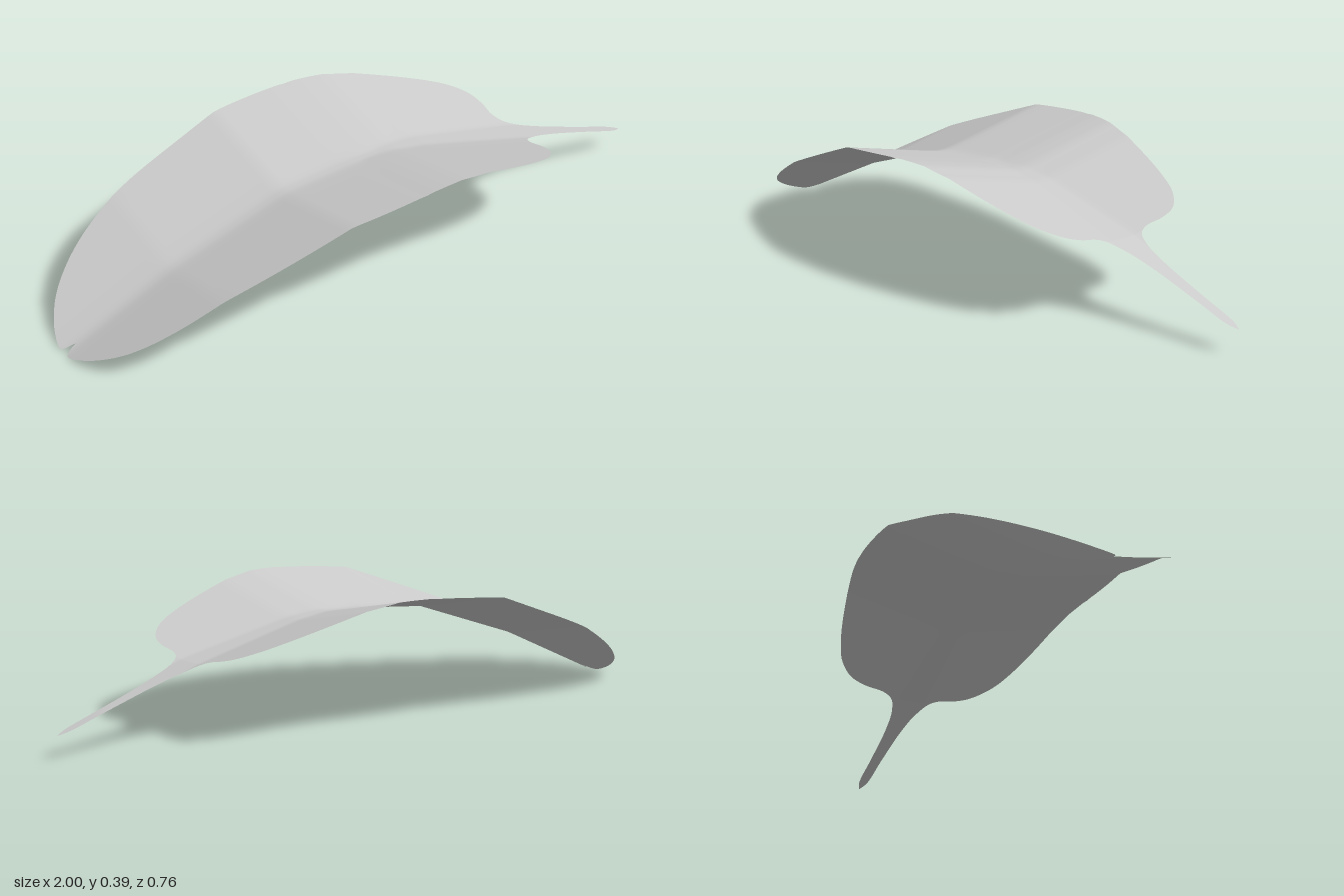
import * as THREE from 'three';

// Piecewise-linear lookup in a list of [x, value] pairs
function lookup(table, x) {
  let i = 1;
  while (i < table.length - 1 && x > table[i][0]) i++;
  const [x0, a] = table[i - 1], [x1, b] = table[i];
  return THREE.MathUtils.lerp(a, b, THREE.MathUtils.clamp((x - x0) / (x1 - x0), 0, 1));
}

// Height, sideways drift and half width of the midrib along the leaf
const ribHeight = [[-1, 0.003], [-0.65, 0.165], [-0.27, 0.295], [-0.05, 0.315], [0.1, 0.32], [0.2, 0.308], [0.56, 0.222], [1, 0.075]];
const ribCentre = [[-1, -0.02], [-0.3, 0], [0.15, 0.012], [0.56, 0.028], [1, 0.02]];
const ribHalf = [[-1, 0.001], [-0.3, 0.006], [0.05, 0.008], [0.15, 0.022], [0.56, 0.04], [1, 0.04]];

// Outlines from the notched tip to the stalk end: [x on midrib, x on edge, z on edge]
const backEdge = [
  [-0.955, -0.955, -0.022], [-0.953, -0.97, -0.026], [-0.95, -0.997, -0.04], [-0.93, -0.985, -0.1],
  [-0.89, -0.94, -0.18], [-0.84, -0.88, -0.24], [-0.75, -0.78, -0.3], [-0.6, -0.61, -0.35], [-0.4, -0.4, -0.372],
  [-0.2, -0.2, -0.383], [0, 0, -0.37], [0.2, 0.2, -0.33], [0.38, 0.4, -0.275], [0.45, 0.49, -0.235],
  [0.49, 0.54, -0.185], [0.52, 0.553, -0.13], [0.545, 0.55, -0.075], [0.57, 0.565, -0.04], [0.61, 0.61, -0.018],
  [0.7, 0.7, -0.003], [0.85, 0.85, 0.004], [0.97, 0.97, 0.008], [1, 1, 0.019],
];
const frontEdge = [
  [-0.955, -0.955, -0.022], [-0.953, -0.975, -0.018], [-0.95, -0.998, 0], [-0.93, -0.985, 0.06],
  [-0.89, -0.945, 0.135], [-0.84, -0.89, 0.195], [-0.75, -0.79, 0.25], [-0.6, -0.61, 0.3], [-0.4, -0.4, 0.343],
  [-0.2, -0.2, 0.369], [0, 0, 0.374], [0.2, 0.2, 0.358], [0.38, 0.4, 0.32], [0.45, 0.49, 0.283],
  [0.49, 0.54, 0.23], [0.52, 0.553, 0.18], [0.545, 0.55, 0.12], [0.57, 0.565, 0.09], [0.61, 0.61, 0.067],
  [0.7, 0.7, 0.05], [0.85, 0.85, 0.04], [0.97, 0.97, 0.034], [1, 1, 0.021],
];

// Flat along the midrib, then rising towards the edge
function surfaceHeight(x, z) {
  const d = Math.max(0, Math.abs(z - lookup(ribCentre, x)) - lookup(ribHalf, x));
  const soft = x < 0 ? 0.02 : 0.008;
  return lookup(ribHeight, x) + 0.22 * (Math.hypot(d, soft) - soft);
}

// One half of the leaf, lofted from midrib to outline
function leafHalf(name, outline, flip, material) {
  const curve = new THREE.CatmullRomCurve3(outline.map((p) => new THREE.Vector3(...p)));
  const rows = 176, cols = 28;
  const positions = [], indices = [];
  for (let i = 0; i <= rows; i++) {
    const p = curve.getPoint(i / rows);
    const midZ = lookup(ribCentre, p.x);
    for (let j = 0; j <= cols; j++) {
      const v = (j / cols) ** 1.4;
      const x = THREE.MathUtils.lerp(p.x, p.y, v);
      const z = THREE.MathUtils.lerp(midZ, p.z, v);
      positions.push(x, surfaceHeight(x, z), z);
      if (i < rows && j < cols) {
        const a = i * (cols + 1) + j, b = a + 1, c = a + cols + 1, d = c + 1;
        if (flip) indices.push(a, c, b, b, c, d);
        else indices.push(a, b, c, b, d, c);
      }
    }
  }
  const geometry = new THREE.BufferGeometry();
  geometry.setAttribute('position', new THREE.Float32BufferAttribute(positions, 3));
  geometry.setIndex(indices);
  geometry.computeVertexNormals();
  const mesh = new THREE.Mesh(geometry, material);
  mesh.name = name;
  return mesh;
}

export function createModel() {
  const group = new THREE.Group();
  group.name = 'leaf';
  const material = new THREE.MeshStandardMaterial({ color: 0xcccccc, side: THREE.DoubleSide });
  group.add(leafHalf('frontLeafHalf', frontEdge, false, material));
  group.add(leafHalf('backLeafHalf', backEdge, true, material));
  return group;
}
